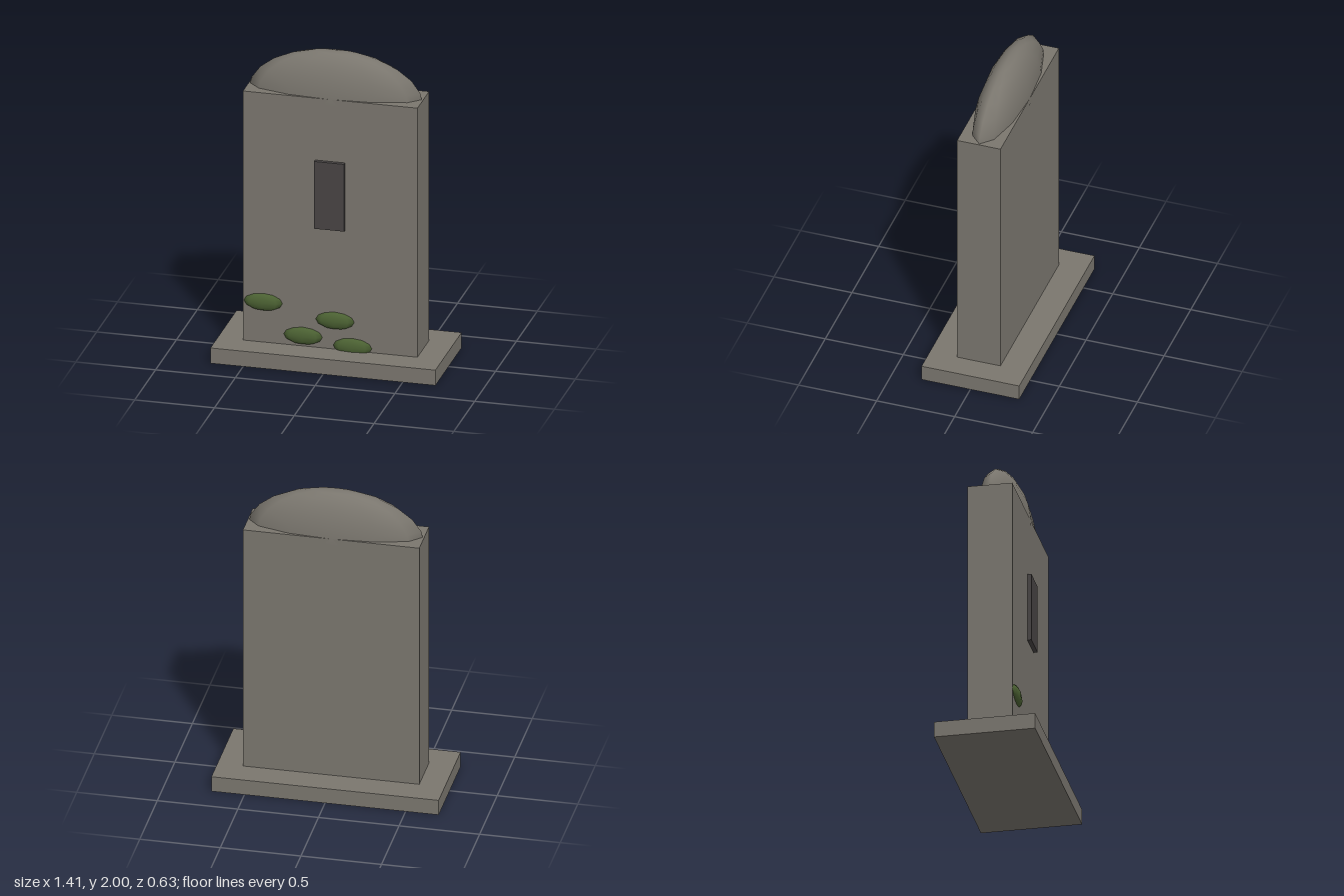
import * as THREE from 'three';

export function createModel() {
  const model = new THREE.Group();
  const mat = (name, color) => {
    const m = new THREE.MeshStandardMaterial({ color });
    m.name = name;
    return m;
  };
  const stone = mat('stone', 0x7a766e);
  const darkStone = mat('darkStone', 0x484444);
  const moss = mat('moss', 0x4c6233);

  const add = (name, geometry, material, x, y, z) => {
    const mesh = new THREE.Mesh(geometry, material);
    mesh.name = name;
    mesh.position.set(x, y, z);
    model.add(mesh);
    return mesh;
  };

  // Plinth and upright slab
  add('base', new THREE.BoxGeometry(1.41, 0.1, 0.626), stone, 0, 0.05, 0);
  add('slab', new THREE.BoxGeometry(1.094, 1.63, 0.278), stone, 0, 0.915, 0);

  // Rounded cap: a flattened half sphere sunk into the slab
  const cap = new THREE.SphereGeometry(1, 12, 6, 0, Math.PI * 2, 0, Math.PI / 2);
  add('cap', cap, stone, 0, 1.69, 0).scale.set(0.547, 0.31, 0.142);

  // Raised plaque on the front
  add('plaque', new THREE.BoxGeometry(0.188, 0.44, 0.03), darkStone, 0, 1.105, 0.149);

  // Moss patches near the foot
  const patch = new THREE.SphereGeometry(1, 8, 6);
  [[-0.42, 0.363], [0.03, 0.286], [-0.17, 0.167], [0.14, 0.125]].forEach(([x, y], i) => {
    add(`mossPatch${i + 1}`, patch, moss, x, y, 0.138).scale.set(0.123, 0.056, 0.029);
  });

  return model;
}
